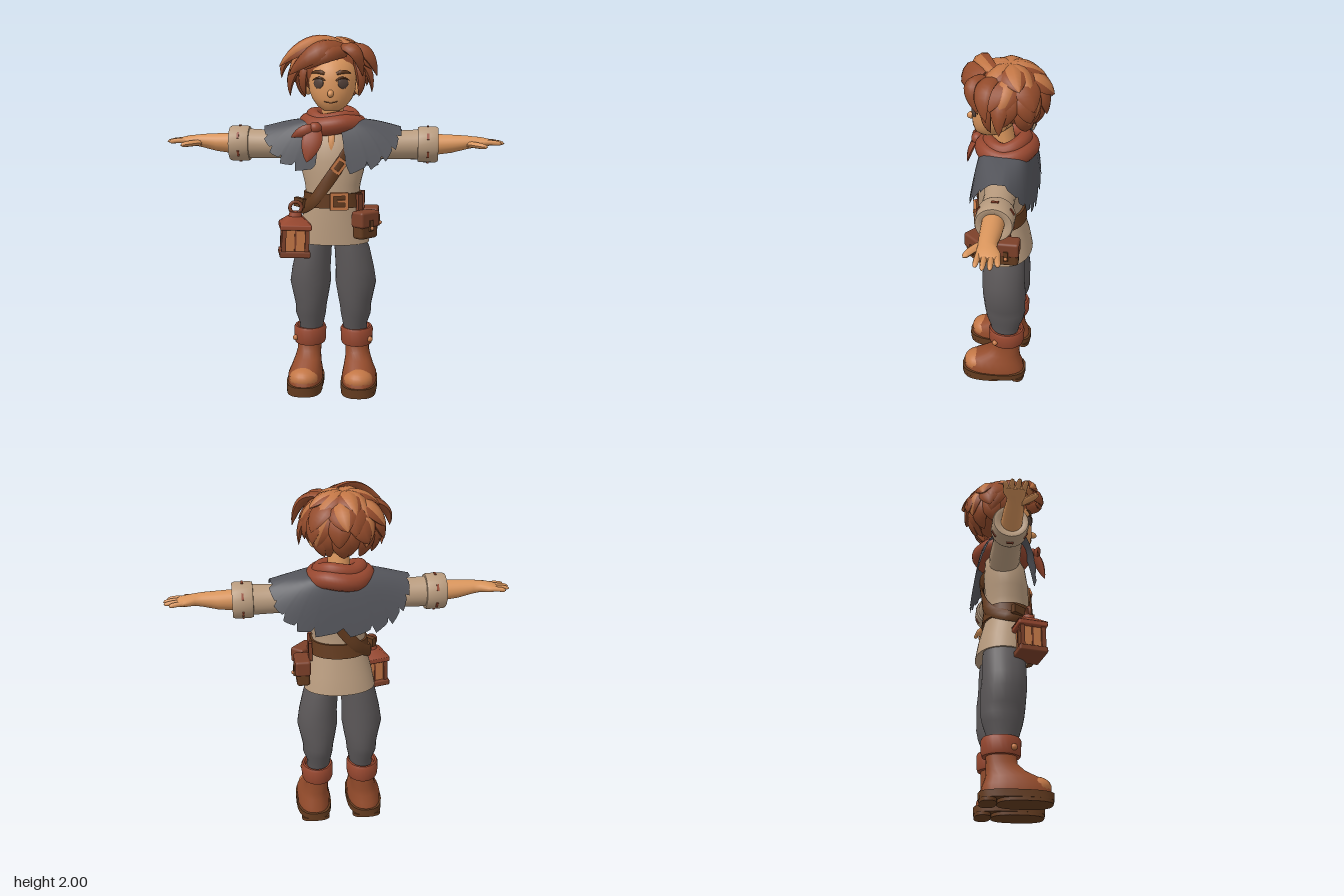
import * as THREE from 'three';
import { toCreasedNormals } from 'three/addons/utils/BufferGeometryUtils.js';
import { RoundedBoxGeometry } from 'three/addons/geometries/RoundedBoxGeometry.js';

const V = (x, y, z) => new THREE.Vector3(x, y, z);
const PI = Math.PI;
const mat = (name, color, side = THREE.FrontSide) => {
  const m = new THREE.MeshStandardMaterial({ color, side });
  m.name = name;
  return m;
};

// Closed skin over rings of points, with capped ends
function skin(rings) {
  const n = rings[0].length, pos = [], idx = [], last = rings.length - 1;
  rings.flat().forEach(p => pos.push(p.x, p.y, p.z));
  for (let i = 0; i < last; i++) for (let j = 0; j < n; j++) {
    const a = i * n + j, b = i * n + (j + 1) % n;
    idx.push(a, a + n, b + n, a, b + n, b);
  }
  [0, last].forEach((r, k) => {
    const c = rings[r].reduce((s, p) => s.add(p), V(0, 0, 0)).divideScalar(n);
    const ci = pos.length / 3;
    pos.push(c.x, c.y, c.z);
    for (let j = 0; j < n; j++) {
      const a = r * n + j, b = r * n + (j + 1) % n;
      if (k) idx.push(ci, b, a); else idx.push(ci, a, b);
    }
  });
  const g = new THREE.BufferGeometry();
  g.setAttribute('position', new THREE.Float32BufferAttribute(pos, 3));
  g.setIndex(idx);
  return toCreasedNormals(g, 0.85);
}

const pw = (v, e) => Math.sign(v) * Math.pow(Math.abs(v), e);

// Upright loft; each section is [y, centreX, centreZ, radiusX, radiusZ]
function loft(sections, e = 1, n = 24) {
  return skin(sections.map(([y, cx, cz, rx, rz]) => Array.from({ length: n }, (_, j) => {
    const a = j / n * 2 * PI;
    return V(cx + rx * pw(Math.cos(a), e), y, cz + rz * pw(Math.sin(a), e));
  })));
}
// Sideways loft; each section is [x, centreY, centreZ, radiusY, radiusZ]
const sideLoft = (sections, s) =>
  loft(sections.map(([x, cy, cz, ry, rz]) => [x, -s * cy, cz, ry, rz])).rotateZ(-s * PI / 2);

// Flat section of half width w and half thickness t carried along a curve
function sweep(curve, w, t, profile, outward, n = 10, sides = 8) {
  return skin(Array.from({ length: n + 1 }, (_, i) => {
    const u = i / n, p = curve.getPoint(u), T = curve.getTangent(u);
    const S = T.clone().cross(outward(p)).normalize(), N = S.clone().cross(T), k = profile(u);
    return Array.from({ length: sides }, (_, j) => {
      const a = j / sides * 2 * PI;
      return p.clone().addScaledVector(S, w * k * Math.cos(a)).addScaledVector(N, t * k * Math.sin(a));
    });
  }));
}
const leaf = u => Math.pow(Math.max(0, Math.sin(PI * (0.2 + 0.8 * u))), 0.75);
const blunt = u => Math.sqrt(Math.max(0, 1 - u ** 6));
const bez = (a, b, c) => new THREE.QuadraticBezierCurve3(V(...a), V(...b), V(...c));
const forward = () => V(0, 0, 1);

export function createModel() {
  const root = new THREE.Group();
  root.name = 'traveller';
  const skinM = mat('skin', 0xd9955c), auburn = mat('auburn', 0x934b2b), tan = mat('tan', 0xc27645);
  const rust = mat('rust', 0x96472f), trouser = mat('trouserGrey', 0x5b5758);
  const capeM = mat('capeGrey', 0x53545a, THREE.DoubleSide), linen = mat('linen', 0xb89b7e);
  const leather = mat('darkLeather', 0x633b1f), pouchM = mat('pouchLeather', 0x7c4029), eyeM = mat('eyeBrown', 0x55423a);

  const add = (name, geo, m, p = [0, 0, 0], r = [0, 0, 0], parent = root) => {
    const mesh = new THREE.Mesh(geo, m);
    mesh.name = name;
    mesh.position.set(...p);
    mesh.rotation.set(...r);
    parent.add(mesh);
    return mesh;
  };
  const ball = (name, m, p, s, r) => add(name, new THREE.SphereGeometry(1, 20, 14), m, p, r).scale.set(...s);
  const box = (w, h, d) => new THREE.BoxGeometry(w, h, d);
  const frame = (w, h, b, d) => {
    const rect = (P, x, y) => { P.moveTo(-x, -y); P.lineTo(x, -y); P.lineTo(x, y); P.lineTo(-x, y); P.closePath(); return P; };
    const sh = rect(new THREE.Shape(), w / 2, h / 2);
    sh.holes.push(rect(new THREE.Path(), w / 2 - b, h / 2 - b));
    return new THREE.ExtrudeGeometry(sh, { depth: d, bevelEnabled: false });
  };

  // Head and face
  add('neck', loft([[1.46, 0, 0, 0.07, 0.065], [1.55, 0, 0.01, 0.06, 0.06], [1.67, 0, 0.03, 0.06, 0.06]]), skinM);
  add('head', loft([[1.595, 0, 0.095, 0.04, 0.05], [1.62, 0, 0.085, 0.078, 0.083], [1.66, 0, 0.07, 0.108, 0.108],
    [1.70, 0, 0.06, 0.125, 0.12], [1.76, 0, 0.055, 0.132, 0.125], [1.82, 0, 0.05, 0.13, 0.12],
    [1.88, 0, 0.03, 0.11, 0.1], [1.92, 0, 0.02, 0.06, 0.06]], 1, 32), skinM);
  ball('nose', skinM, [0, 1.69, 0.182], [0.017, 0.02, 0.028], [0.3, 0, 0]);
  add('mouth', new THREE.TubeGeometry(bez([-0.036, 1.648, 0.167], [0, 1.634, 0.18], [0.036, 1.648, 0.167]), 10, 0.003, 6), leather);
  for (const s of [-1, 1]) {
    ball('eye', eyeM, [s * 0.066, 1.745, 0.16], [0.031, 0.03, 0.009], [0, s * 0.49, 0]);
    add('eyelash', sweep(bez([s * 0.03, 1.758, 0.178], [s * 0.065, 1.79, 0.178], [s * 0.103, 1.757, 0.143]), 0.006, 0.005, leaf, forward), leather);
    add('eyebrow', sweep(bez([s * 0.033, 1.794, 0.17], [s * 0.07, 1.815, 0.17], [s * 0.108, 1.797, 0.134]), 0.011, 0.007, leaf, forward), leather);
    ball('ear', skinM, [s * 0.14, 1.72, 0.005], [0.022, 0.042, 0.03], [0, s * 0.4, 0]);
  }

  // Hair: a rounded cap covered with layered leaf-shaped locks, some with a tan streak
  const C = V(-0.018, 1.82, -0.02), fromHead = p => p.clone().sub(C);
  ball('hairCap', auburn, C.toArray(), [0.175, 0.152, 0.172]);
  const lock = (a, b, c, w, streak) => {
    add('hairLock', sweep(bez(a, b, c), w, 0.026, leaf, fromHead), auburn);
    if (streak) add('hairStreak', sweep(bez(a, b, c), w * 0.7, 0.031, leaf, fromHead), tan);
  };
  const onHead = (az, el, k) => {
    const e = el * PI / 180, a = az * PI / 180;
    return [C.x + 0.185 * k * Math.cos(e) * Math.sin(a), C.y + 0.152 * k * Math.sin(e), C.z + 0.172 * k * Math.cos(e) * Math.cos(a)];
  };
  // [count, first azimuth, last azimuth, start, middle and end elevation, end reach, half width, streak every]
  [[8, 5, 320, 88, 62, 24, 1.2, 0.073, 1], [8, 62, 298, 58, 30, -3, 1.29, 0.074, 2],
    [8, 95, 265, 35, 5, -26, 1.28, 0.064, 3], [6, 118, 242, 5, -28, -58, 1.28, 0.058, 9]]
    .forEach(([n, a0, a1, e0, e1, e2, k, w, every], layer) => {
      for (let i = 0; i < n; i++) {
        const az = a0 + (a1 - a0) * i / (n - 1), j = (i * 7 + layer * 3) % 5 - 2;
        lock(onHead(az, e0, 0.95), onHead(az + j * 4, e1, 1.16), onHead(az + j * 8, e2 + j * 3, k + j * 0.02), w, i % every === every - 1);
      }
    });
  [[[0.05, 1.95, 0.06], [-0.12, 2.0, 0.22], [-0.285, 1.83, 0.13], 0.06, true],
    [[0.06, 1.93, 0.11], [-0.06, 1.95, 0.29], [-0.23, 1.785, 0.16], 0.058],
    [[0.07, 1.91, 0.12], [-0.02, 1.92, 0.27], [-0.14, 1.815, 0.185], 0.045],
    [[0.05, 1.93, 0.1], [0.15, 1.96, 0.22], [0.17, 1.78, 0.12], 0.045],
    [[0.08, 1.94, 0.05], [0.21, 1.95, 0.13], [0.245, 1.78, 0.07], 0.055],
    [[0.07, 1.9, 0.0], [0.22, 1.87, 0.02], [0.215, 1.69, 0.01], 0.05],
    [[-0.12, 1.92, 0.02], [-0.28, 1.91, 0.05], [-0.28, 1.77, 0.05], 0.055],
    [[-0.1, 1.9, 0.05], [-0.25, 1.84, 0.08], [-0.235, 1.67, 0.03], 0.05]].forEach(l => lock(...l));
  for (const s of [-1, 1]) lock([s * 0.13, 1.87, 0.07], [s * 0.18, 1.77, 0.1], [s * 0.145, 1.67, 0.06], 0.03);

  // Tunic with neckline
  add('tunic', loft([[0.855, 0, 0, 0.205, 0.152], [0.95, 0, 0.01, 0.186, 0.145], [1.06, 0, 0.025, 0.158, 0.13],
    [1.12, 0, 0.03, 0.148, 0.125], [1.19, 0, 0.03, 0.156, 0.125], [1.26, 0, 0.027, 0.174, 0.125], [1.32, 0, 0.023, 0.183, 0.124],
    [1.4, 0, 0.015, 0.178, 0.12], [1.48, 0, 0, 0.15, 0.1], [1.54, 0, 0, 0.07, 0.06]], 0.95, 32), linen);
  add('openNeckline', sweep(bez([0, 1.5, 0.1], [0, 1.45, 0.134], [0, 1.38, 0.138]), 0.02, 0.006, leaf, forward), skinM);

  // Belt, buckle and shoulder strap
  add('belt', loft([[1.065, 0, 0.025, 0.168, 0.142], [1.145, 0, 0.03, 0.162, 0.138]], 0.95, 32), leather);
  add('beltBuckle', frame(0.1, 0.096, 0.018, 0.016), tan, [0.045, 1.106, 0.162], [0, 0.2, 0]);
  add('buckleProng', box(0.05, 0.014, 0.012), tan, [0.06, 1.106, 0.172], [0, 0.2, 0]);
  const strapPath = new THREE.CatmullRomCurve3([V(0.13, 1.5, 0.05), V(0.09, 1.38, 0.135), V(0.03, 1.28, 0.158),
    V(-0.04, 1.18, 0.16), V(-0.11, 1.09, 0.138), V(-0.18, 1.05, 0.03), V(-0.1, 1.12, -0.083),
    V(0, 1.24, -0.108), V(0.09, 1.4, -0.105), V(0.13, 1.5, -0.03)], true);
  add('shoulderStrap', sweep(strapPath, 0.034, 0.01, () => 1, p => V(p.x, 0, p.z - 0.02), 48), leather);
  add('strapBuckle', frame(0.085, 0.062, 0.015, 0.014), tan, [0.043, 1.3, 0.158], [0, 0.15, 0.92]);

  // Short cape, open at the front, with a ragged hem
  const U = 160, R = 8, teeth = 20;
  const cape = new THREE.PlaneGeometry(1, 1, U, R), cp = cape.attributes.position;
  for (let i = 0; i < cp.count; i++) {
    const u = (i % (U + 1)) / U, v = Math.floor(i / (U + 1)) / R;
    const a = 0.12 + u * (2 * PI - 0.24), sn = Math.sin(a), cs = Math.cos(a);
    const f = (u * teeth) % 1;
    const tooth = (f < 0.06 ? 0 : 1.1 - 0.7 * f) * Math.pow(v, 5);
    const h = Math.pow(v, 0.7) + 0.08 * tooth;
    const drop = (0.04 + (0.205 + (cs < 0 ? 0.03 : 0)) * Math.abs(cs)) * Math.pow(v, 1.4);
    cp.setXYZ(i, (0.11 + 0.255 * h) * pw(sn, 0.7), 1.55 - drop - 0.05 * tooth * Math.abs(cs), (0.1 + 0.075 * h) * pw(cs, 0.5));
  }
  cape.computeVertexNormals();
  add('cape', cape, capeM);

  // Neck scarf with knot and tails
  const scarfRing = (y, rx, rz, dip) => new THREE.CatmullRomCurve3(Array.from({ length: 12 }, (_, i) => {
    const a = i / 12 * 2 * PI;
    return V(rx * Math.sin(a), y - dip * Math.cos(a) + 0.008 * Math.sin(3 * a), rz * Math.cos(a) - 0.005);
  }), true);
  add('scarfLower', new THREE.TubeGeometry(scarfRing(1.52, 0.14, 0.122, 0.005), 48, 0.052, 14, true), rust);
  add('scarfUpper', new THREE.TubeGeometry(scarfRing(1.56, 0.112, 0.095, 0.015), 48, 0.04, 14, true), rust);
  ball('scarfKnot', rust, [-0.085, 1.505, 0.17], [0.036, 0.034, 0.034]);
  add('scarfTail', sweep(bez([-0.085, 1.5, 0.175], [-0.1, 1.43, 0.22], [-0.125, 1.325, 0.235]), 0.055, 0.016, leaf, forward), rust);
  add('scarfTail', sweep(bez([-0.085, 1.5, 0.175], [-0.14, 1.5, 0.21], [-0.215, 1.455, 0.18]), 0.032, 0.016, leaf, forward), rust);

  for (const s of [-1, 1]) {
    // Sleeve, rolled cuff and stitches
    add('sleeve', sideLoft([[0.1, 1.42, 0, 0.08, 0.085], [0.2, 1.41, -0.005, 0.085, 0.088], [0.36, 1.402, -0.01, 0.08, 0.08], [0.5, 1.405, -0.015, 0.084, 0.085]], s), linen);
    add('sleeveCuff', sideLoft([[0.47, 1.405, -0.015, 0.08, 0.08], [0.472, 1.405, -0.015, 0.095, 0.094], [0.485, 1.405, -0.015, 0.1, 0.098],
      [0.57, 1.405, -0.015, 0.1, 0.098], [0.583, 1.405, -0.015, 0.094, 0.092], [0.583, 1.405, -0.015, 0.074, 0.072], [0.572, 1.405, -0.015, 0.06, 0.06]], s), linen);
    for (let i = 0; i < 6; i++) {
      const a = i * PI / 3;
      add('cuffStitch', box(0.012, 0.008, 0.036), rust, [s * 0.527, 1.405 + 0.1 * Math.cos(a), -0.015 + 0.098 * Math.sin(a)], [a, 0, 0]);
    }
    // Forearm, palm, fingers and thumb
    add('forearm', sideLoft([[0.55, 1.405, -0.01, 0.06, 0.058], [0.66, 1.41, -0.012, 0.05, 0.054], [0.74, 1.418, -0.012, 0.038, 0.047],
      [0.78, 1.42, -0.015, 0.031, 0.046], [0.82, 1.42, -0.025, 0.027, 0.058], [0.86, 1.418, -0.028, 0.02, 0.06], [0.875, 1.417, -0.028, 0.012, 0.054]], s), skinM);
    [[-0.077, 0.915], [-0.046, 0.945], [-0.013, 0.95], [0.02, 0.93]].forEach(([z, x]) =>
      add('finger', sweep(bez([s * 0.83, 1.42, z * 0.9], [s * 0.89, 1.422, z], [s * x, 1.412, z * 1.1]), 0.0145, 0.014, blunt, () => V(0, 1, 0)), skinM));
    add('thumb', sweep(bez([s * 0.74, 1.41, 0.005], [s * 0.79, 1.41, 0.06], [s * 0.85, 1.4, 0.09]), 0.02, 0.017, blunt, () => V(0, 1, 0)), skinM);

    // Trouser leg, baggy at the knee
    const sx = rows => rows.map(([y, x, ...r]) => [y, s * x, ...r]);
    add('trouserLeg', loft(sx([[0.31, 0.13, -0.01, 0.065, 0.075], [0.37, 0.125, -0.01, 0.07, 0.088], [0.43, 0.13, -0.012, 0.087, 0.108],
      [0.48, 0.128, -0.012, 0.09, 0.118], [0.53, 0.128, -0.008, 0.1, 0.12], [0.62, 0.13, -0.005, 0.117, 0.125], [0.7, 0.125, 0, 0.11, 0.122],
      [0.82, 0.108, 0, 0.1, 0.12], [0.9, 0.09, 0.002, 0.082, 0.11], [1.0, 0.075, 0.01, 0.07, 0.095]])), trouser);

    // Boot
    add('bootFoot', loft(sx([[0.045, 0.155, 0.055, 0.098, 0.185], [0.09, 0.155, 0.057, 0.098, 0.178], [0.13, 0.15, 0.045, 0.085, 0.15],
      [0.17, 0.145, 0.005, 0.074, 0.105], [0.21, 0.14, -0.018, 0.068, 0.083], [0.27, 0.138, -0.02, 0.07, 0.082]]), 0.85), auburn);
    ball('bootToeCap', tan, [s * 0.155, 0.085, 0.16], [0.082, 0.06, 0.078]);
    add('bootCuff', loft(sx([[0.247, 0.136, -0.02, 0.07, 0.085], [0.25, 0.136, -0.02, 0.087, 0.1], [0.265, 0.136, -0.02, 0.092, 0.105], [0.335, 0.136, -0.02, 0.094, 0.107],
      [0.35, 0.136, -0.02, 0.086, 0.1], [0.35, 0.136, -0.02, 0.074, 0.088], [0.33, 0.136, -0.02, 0.066, 0.08]])), rust);
    ball('bootButton', tan, [s * 0.214, 0.285, 0.04], [0.017, 0.017, 0.017]);
    const slab = (name, y0, y1, z, rx, rz) => add(name, loft(sx([[y0, 0.155, z, rx, rz], [y1, 0.155, z, rx, rz]]), 0.75), leather);
    slab('bootSole', 0.018, 0.055, 0.055, 0.105, 0.195);
    slab('bootTread', 0, 0.02, 0.1, 0.1, 0.145);
    slab('bootHeel', 0, 0.02, -0.09, 0.085, 0.045);
  }

  // Lantern hanging at the right hip
  const lantern = new THREE.Group();
  lantern.name = 'lantern';
  lantern.position.set(-0.21, 0.79, 0.125);
  lantern.rotation.set(0, 0.2, -0.04);
  root.add(lantern);
  const part = (name, geo, m, p, r) => add(name, geo, m, p, r, lantern);
  part('lanternBase', new RoundedBoxGeometry(0.17, 0.035, 0.16, 2, 0.008), pouchM, [0, 0.018, 0]);
  part('lanternGlass', box(0.125, 0.13, 0.12), tan, [0, 0.095, 0]);
  for (const x of [-1, 1]) for (const z of [-1, 1]) part('lanternPost', box(0.024, 0.14, 0.024), pouchM, [x * 0.064, 0.095, z * 0.06]);
  for (let i = 0; i < 4; i++) part('lanternBar', box(0.01, 0.13, 0.008), pouchM, [0.063 * Math.sin(i * PI / 2), 0.095, 0.061 * Math.cos(i * PI / 2)], [0, i * PI / 2, 0]);
  part('lanternEave', new RoundedBoxGeometry(0.175, 0.03, 0.165, 2, 0.008), rust, [0, 0.17, 0]);
  part('lanternRoof', new THREE.CylinderGeometry(0.05, 0.12, 0.04, 4).rotateY(PI / 4), rust, [0, 0.205, 0]);
  part('lanternCap', new THREE.CylinderGeometry(0.032, 0.038, 0.025, 12), rust, [0, 0.237, 0]);
  part('lanternHandle', new THREE.TorusGeometry(0.032, 0.01, 8, 20), pouchM, [0, 0.272, 0]);
  part('lanternHook', box(0.03, 0.05, 0.09), leather, [0.03, 0.295, -0.045], [0, 0.5, 0]);

  // Two belt pouches at the left hip
  [[0.188, 0.132, 0.85], [0.212, -0.03, PI / 2]].forEach(([x, z, turn]) => {
    const g = new THREE.Group();
    g.name = 'beltPouch';
    g.position.set(x, 0.97, z);
    g.rotation.y = turn;
    root.add(g);
    add('pouchBody', new RoundedBoxGeometry(0.135, 0.145, 0.075, 3, 0.018), leather, [0, 0, 0], [0, 0, 0], g);
    add('pouchFlap', new RoundedBoxGeometry(0.145, 0.09, 0.088, 3, 0.015), pouchM, [0, 0.036, 0.002], [0, 0, 0], g);
    add('pouchTab', box(0.026, 0.06, 0.01), leather, [0, 0.002, 0.047], [0, 0, 0], g);
    add('pouchStud', new THREE.SphereGeometry(0.011, 12, 8), tan, [0, -0.012, 0.053], [0, 0, 0], g);
    add('pouchLoop', box(0.034, 0.11, 0.02), pouchM, [0, 0.115, -0.045], [0, 0, 0], g);
  });
  return root;
}
